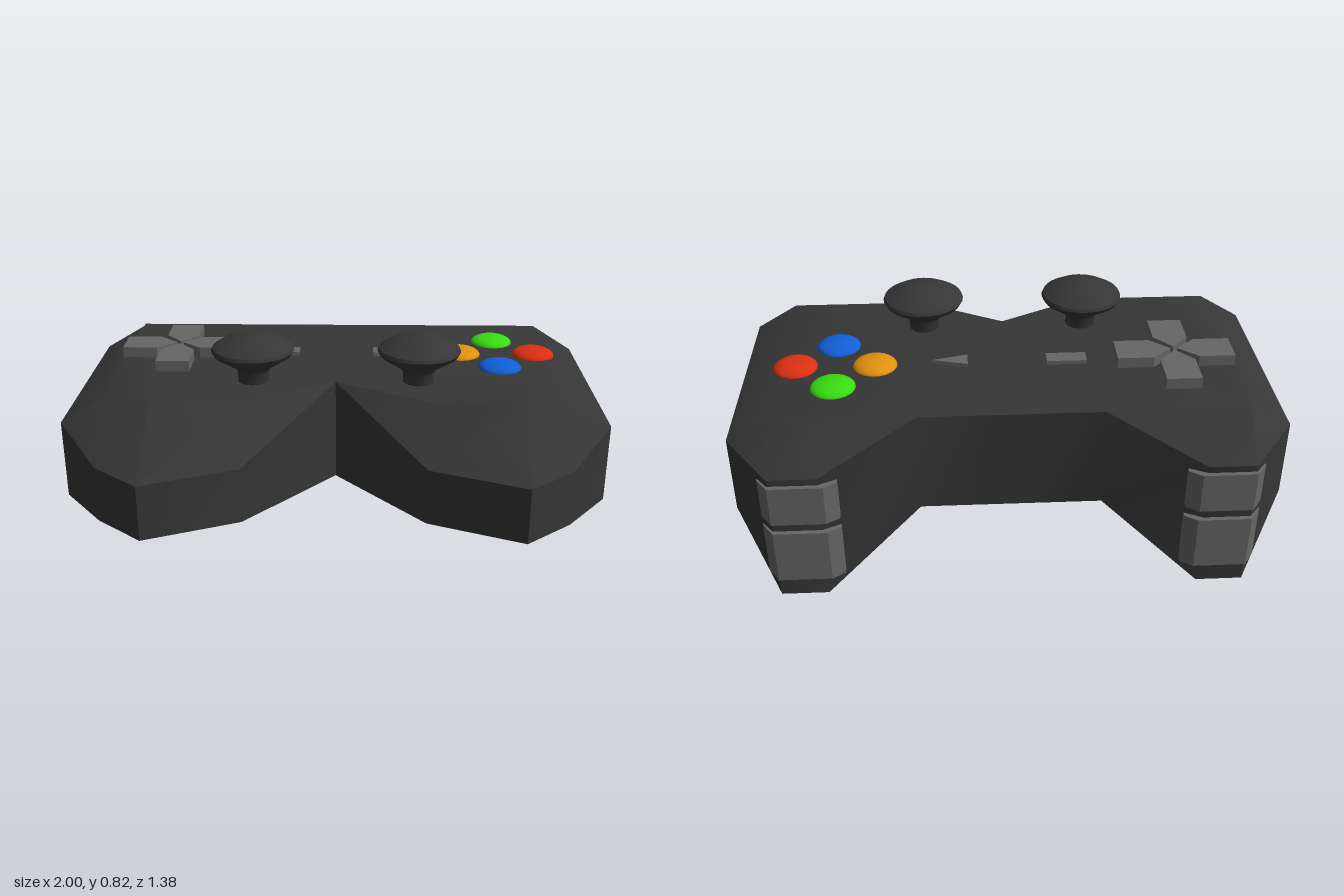
import * as THREE from 'three';
import { toCreasedNormals } from 'three/addons/utils/BufferGeometryUtils.js';

const material = (name, color) => {
  const m = new THREE.MeshStandardMaterial({ color });
  m.name = name;
  return m;
};

// Upright prism from an outline of [x, z] points
function prism(points, y0, y1) {
  const shape = new THREE.Shape(points.map(([x, z]) => new THREE.Vector2(x, -z)));
  const g = new THREE.ExtrudeGeometry(shape, { depth: y1 - y0, bevelEnabled: false });
  return g.rotateX(-Math.PI / 2).translate(0, y0, 0);
}

// Shell: bottom rim, upper rim and raised plateau, joined by bands and closed by caps
function bodyGeometry() {
  // x, z, bottom y, rim y, plateau x, plateau z
  const half = [
    [0, 0.17, 0.25, 0.64, 0, 0.17],
    [0.33, 0.55, 0.25, 0.46, 0.33, 0.35],
    [0.67, 0.69, 0.25, 0.46, 0.67, 0.35],
    [0.84, 0.55, 0.25, 0.46, 0.84, 0.35],
    [1, 0.35, 0.25, 0.545, 0.84, 0.35],
    [1, -0.48, 0.25, 0.545, 0.84, -0.48],
    [0.84, -0.675, 0, 0.51, 0.84, -0.51],
    [0.67, -0.675, 0, 0.51, 0.67, -0.51],
    [0.33, -0.51, 0.25, 0.64, 0.33, -0.51],
    [0, -0.51, 0.25, 0.64, 0, -0.51],
  ];
  const mirrored = half.slice(1, -1).reverse().map(([x, z, b, t, px, pz]) => [-x, z, b, t, -px, pz]);
  const ring = [...half, ...mirrored];
  const V = (x, y, z) => new THREE.Vector3(x, y, z);
  const low = ring.map((p) => V(p[0], p[2], p[1]));
  const rim = ring.map((p) => V(p[0], p[3], p[1]));
  const top = ring.map((p) => V(p[4], 0.64, p[5]));
  const pos = [];
  const tri = (a, b, c) => {
    if (new THREE.Triangle(a, b, c).getArea() > 1e-6) {
      for (const p of [a, b, c]) pos.push(p.x, p.y, p.z);
    }
  };
  const quad = (a, b, c, d) => { tri(a, b, c); tri(a, c, d); };
  const cap = (pts, down) => {
    const flat = pts.map((p) => new THREE.Vector2(p.x, -p.z));
    for (const [a, b, c] of THREE.ShapeUtils.triangulateShape(flat, [])) {
      if (down) tri(pts[a], pts[c], pts[b]);
      else tri(pts[a], pts[b], pts[c]);
    }
  };
  ring.forEach((_, i) => {
    const j = (i + 1) % ring.length;
    quad(low[i], low[j], rim[j], rim[i]);
    quad(rim[i], rim[j], top[j], top[i]);
  });
  cap(top.filter((p, i) => i === 0 || !p.equals(top[i - 1])), false);
  // Flat underside, then the slopes running down behind the shoulder buttons
  cap(low.filter((p) => p.y > 0.1), true);
  for (const s of [5, 10]) quad(low[s + 3], low[s + 2], low[s + 1], low[s]);
  const g = new THREE.BufferGeometry();
  g.setAttribute('position', new THREE.Float32BufferAttribute(pos, 3));
  return toCreasedNormals(g, 0.6);
}

export function createModel() {
  const group = new THREE.Group();
  const shell = material('charcoal', 0x363636);
  const grey = material('grey', 0x666666);

  const add = (name, geometry, mat, x = 0, y = 0, z = 0) => {
    const mesh = new THREE.Mesh(geometry, mat);
    mesh.name = name;
    mesh.position.set(x, y, z);
    group.add(mesh);
    return mesh;
  };

  add('body', bodyGeometry(), shell);

  // Thumb sticks: stem, flared underside, rim and shallow dome
  const profile = [
    [0.058, 0.6], [0.058, 0.675], [0.068, 0.695], [0.145, 0.745], [0.155, 0.762],
    [0.15, 0.774], [0.11, 0.797], [0.06, 0.816], [0.025, 0.823], [0, 0.825],
  ].map(([r, y]) => new THREE.Vector2(r, y));
  const stick = toCreasedNormals(new THREE.LatheGeometry(profile, 32), 0.6);

  // Shoulder buttons, two stacked on each side
  const shoulder = [[0.605, -0.61], [0.88, -0.61], [0.88, -0.635], [0.84, -0.692], [0.65, -0.692], [0.605, -0.662]];

  for (const [side, s] of [['left', 1], ['right', -1]]) {
    add(side + 'Stick', stick, shell, s * 0.31, 0, 0.15);
    const outline = shoulder.map(([x, z]) => [s * x, z]);
    add(side + 'UpperShoulderButton', prism(outline, 0.33, 0.485), grey);
    add(side + 'LowerShoulderButton', prism(outline, 0.08, 0.29), grey);
  }

  // Direction pad: four arms with points meeting at the centre
  const arm = prism([[0.012, 0], [0.085, -0.065], [0.22, -0.065], [0.22, 0.065], [0.085, 0.065]], 0.62, 0.682);
  for (let i = 0; i < 4; i++) {
    add('directionPadArm', arm, grey, -0.63, 0, -0.152).rotation.y = (i * Math.PI) / 2;
  }

  // Small centre buttons
  add('selectButton', prism([[-0.3, -0.118], [-0.15, -0.118], [-0.15, -0.178], [-0.3, -0.178]], 0.62, 0.655), grey);
  add('startButton', prism([[0.145, -0.113], [0.28, -0.148], [0.145, -0.183]], 0.62, 0.655), grey);

  // Domed action buttons
  const dome = new THREE.SphereGeometry(0.083, 28, 14).scale(1, 0.38, 1);
  for (const [name, color, x, z] of [
    ['green', 0x38dc10, 0.635, -0.298],
    ['red', 0xdc3010, 0.785, -0.15],
    ['blue', 0x1060d8, 0.635, 0],
    ['orange', 0xe0900e, 0.49, -0.15],
  ]) {
    add(name + 'Button', dome, material(name, color), x, 0.638, z);
  }
  return group;
}
